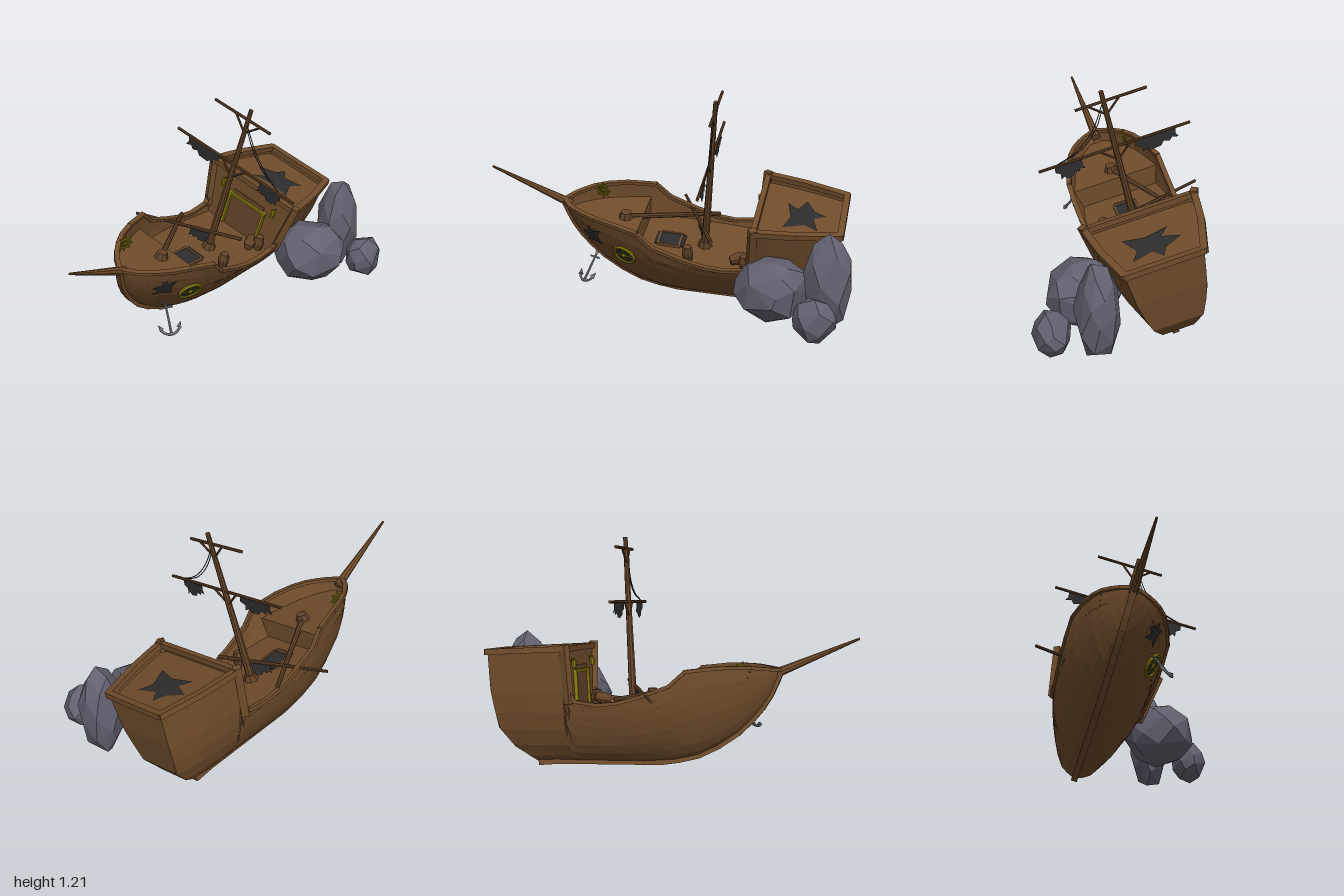
import * as THREE from 'three';
import { ConvexGeometry } from 'three/addons/geometries/ConvexGeometry.js';

const mat = (name, color, flatShading = true) =>
  Object.assign(new THREE.MeshStandardMaterial({ color, side: THREE.DoubleSide, flatShading }), { name });
const V = (x, y, z) => new THREE.Vector3(x, y, z);
const ROLL = 0.2468, KEEL_X = -0.2475;

// Piecewise-linear lookup in a list of [key, value]
function look(table, x) {
  if (x <= table[0][0]) return table[0][1];
  for (let i = 1; i < table.length; i++) {
    const [x0, y0] = table[i - 1], [x1, y1] = table[i];
    if (x <= x1) return y0 + (y1 - y0) * (x - x0) / (x1 - x0);
  }
  return table[table.length - 1][1];
}

// Hull lines: keel height, reference sheer, half beam, top edge, section fullness, transom rake
const keelT = [[-0.92, 0.015], [-0.55, 0.03], [0, 0.065], [0.1, 0.085], [0.2, 0.115], [0.3, 0.17], [0.4, 0.245], [0.47, 0.32], [0.52, 0.385], [0.56, 0.455], [0.59, 0.53], [0.605, 0.575]];
const sheerT = [[0.0, 0.45], [0.15, 0.52], [0.3, 0.57], [0.6, 0.59]];
const beamT = [[-0.92, 0.185], [-0.7, 0.235], [-0.5, 0.262], [-0.2, 0.265], [0.1, 0.258], [0.2, 0.24], [0.3, 0.215], [0.4, 0.18], [0.47, 0.142], [0.52, 0.105], [0.56, 0.068], [0.59, 0.032], [0.605, 0.004]];
const topT = [[-0.92, 0.6], [-0.48, 0.645], [-0.47, 0.52], [-0.45, 0.42], [-0.42, 0.375], [-0.3, 0.365], [-0.2, 0.38], [-0.08, 0.42], [0.07, 0.485], [0.15, 0.565], [0.3, 0.59], [0.45, 0.6], [0.605, 0.59]];
const fullT = [[0, 0], [0.06, 0.22], [0.2, 0.46], [0.42, 0.7], [0.63, 0.85], [0.79, 0.94], [1, 1]];
const rakeT = [[0.015, -0.66], [0.06, -0.72], [0.1, -0.78], [0.2, -0.86], [0.4, -0.9], [0.62, -0.92]];

// Point on the hull skin at station s, height v, side -1 or 1
function skin(s, v, side = 1) {
  const k = look(keelT, s), t = Math.max(0, (v - k) / (look(sheerT, s) - k));
  const u = look(beamT, s) * (t > 1 ? 1 + 0.25 * (t - 1) : look(fullT, t));
  const z = s < -0.55 ? -0.55 + (s + 0.55) / -0.37 * (look(rakeT, v) + 0.55) : s;
  return V(u * side, v, z);
}
const top = (s, side) => skin(s, look(topT, s), side);
const deckV = z => 0.35 + 0.095 * (z + 0.17);
const foreV = z => 0.5 + 0.095 * (z - 0.27);
const poopV = z => 0.585 + 0.1 * (z + 0.68);

// Surface through a grid of points
function grid(rows) {
  const n = rows[0].length, pos = [], idx = [];
  rows.flat().forEach(p => pos.push(p.x, p.y, p.z));
  for (let i = 0; i < rows.length - 1; i++) for (let j = 0; j < n - 1; j++) {
    const a = i * n + j, b = a + n;
    idx.push(a, a + 1, b + 1, a, b + 1, b);
  }
  const g = new THREE.BufferGeometry();
  g.setAttribute('position', new THREE.Float32BufferAttribute(pos, 3));
  g.setIndex(idx);
  g.computeVertexNormals();
  return g;
}
const strip = rows => grid(rows.map(([s, v]) => [skin(s, v, -1), skin(s, v, 1)]));

function shapeGeo(points) {
  return new THREE.ShapeGeometry(new THREE.Shape(points.map(p => new THREE.Vector2(...p))));
}

// Facetted boulder filling an ellipsoid
function rockGeo(seed, count) {
  const pts = [];
  const rnd = () => (seed = (seed * 16807) % 2147483647) / 2147483647;
  for (let i = 0; i < count; i++) {
    const y = 1 - 2 * (i + 0.5) / count, a = i * 2.39996 + rnd() * 0.7, r = Math.sqrt(1 - y * y);
    pts.push(V(r * Math.cos(a), y, r * Math.sin(a)).multiplyScalar(0.97 + rnd() * 0.1));
  }
  return new ConvexGeometry(pts);
}

export function createModel() {
  const wood = mat('hull wood', 0x6f4c2b), spar = mat('spar wood', 0x634328);
  const dark = mat('dark cloth and holes', 0x2d2d2f), brass = mat('brass', 0x857a0c);
  const iron = mat('iron', 0x8f9092), stone = mat('stone', 0x636170);
  const model = new THREE.Group(), ship = new THREE.Group();
  model.name = 'shipwreck';
  ship.name = 'ship';
  ship.position.x = KEEL_X;
  ship.rotation.z = -ROLL;
  model.add(ship);

  const add = (name, geo, m, parent = ship) => {
    const mesh = new THREE.Mesh(geo, m);
    mesh.name = name;
    parent.add(mesh);
    return mesh;
  };
  // Square beam, round rod and chains of beams between points
  const bar = (name, a, b, w, h, m, parent = ship) => {
    const mesh = new THREE.Mesh(new THREE.BoxGeometry(w, h, a.distanceTo(b) + w * 0.4), m);
    mesh.position.copy(a).lerp(b, 0.5);
    mesh.lookAt(b);
    mesh.name = name;
    parent.add(mesh);
  };
  const rod = (name, a, b, r0, r1, m, parent = ship) => {
    const mesh = add(name, new THREE.CylinderGeometry(r1, r0, a.distanceTo(b), 8), m, parent);
    mesh.position.copy(a).lerp(b, 0.5);
    mesh.quaternion.setFromUnitVectors(V(0, 1, 0), b.clone().sub(a).normalize());
  };
  const chain = (name, pts, w, h, m) => pts.slice(1).forEach((p, i) => bar(name, pts[i], p, w, h, m));
  // Upright position to ship position
  const W = (x, y, z) => V(x - KEEL_X, y, z).applyAxisAngle(V(0, 0, 1), ROLL);

  // Hull shell, transom, decks and bulkheads
  const stations = [-0.92, -0.82, -0.7, -0.55, -0.48, -0.47, -0.45, -0.42, -0.3, -0.2, -0.08, 0.07, 0.15, 0.2, 0.3, 0.4, 0.47, 0.52, 0.56, 0.59, 0.605];
  const levels = [0.06, 0.16, 0.3, 0.45, 0.62, 0.8, 1];
  add('hull', grid(stations.map(s => {
    const k = look(keelT, s), h = look(topT, s) - k;
    const half = side => levels.map(t => skin(s, k + h * t, side));
    return [...half(-1).reverse(), skin(s, k), ...half(1)];
  })), wood);
  add('transom', strip([0.6, 0.5, 0.4, 0.3, 0.2, 0.14, 0.1, 0.06, 0.035, 0.015].map(v => [-0.92, v])), wood);
  add('mainDeck', strip([0.18, 0.05, -0.1, -0.25, -0.46].map(z => [z, deckV(z)])), wood);
  add('foreDeck', strip([0.595, 0.56, 0.52, 0.47, 0.4, 0.3, 0.18].map(z => [z, foreV(z)])), wood);
  add('poopDeck', strip([-0.475, -0.6, -0.75, -0.915].map(z => [z, poopV(z)])), wood);
  add('foreBulkhead', strip([[0.18, deckV(0.18)], [0.18, foreV(0.18)]]), wood);
  add('cabinWall', strip([[-0.445, 0.32], [-0.46, 0.46], [-0.478, 0.64]]), wood);

  // Keel, stem and rails
  chain('keel', [-0.92, -0.55, -0.3, 0, 0.1, 0.2, 0.3, 0.4, 0.47, 0.52, 0.56, 0.59, 0.605].map(s => skin(s, look(keelT, s))), 0.034, 0.03, wood);
  for (const side of [-1, 1]) {
    chain('gunwale', [-0.45, -0.42, -0.3, -0.2, -0.08, 0.07, 0.15, 0.3, 0.4, 0.47, 0.52, 0.56, 0.605].map(s => top(s, side)), 0.026, 0.018, wood);
    chain('poopRail', [-0.48, -0.6, -0.7, -0.82, -0.92].map(s => top(s, side)), 0.036, 0.03, wood);
    bar('cabinPost', skin(-0.45, 0.37, side), skin(-0.478, 0.66, side), 0.04, 0.036, wood);
  }
  bar('sternRail', top(-0.92, -1), top(-0.92, 1), 0.034, 0.03, wood);
  bar('poopFrontRail', top(-0.48, -1), top(-0.48, 1), 0.03, 0.03, wood);

  // Cabin door with brass frame, and lanterns
  const wallAt = (u, v, d = 0.008) => V(u, v, -0.445 - (v - 0.32) * 0.105 + d);
  bar('door', wallAt(0, 0.33, 0), wallAt(0, 0.51, 0), 0.22, 0.012, spar);
  for (const side of [-1, 1]) {
    bar('doorFrame', wallAt(0.12 * side, 0.325), wallAt(0.12 * side, 0.52), 0.014, 0.02, brass);
    rod('lantern', wallAt(0.18 * side, 0.545, 0.02), wallAt(0.18 * side, 0.585, 0.02), 0.012, 0.015, brass);
    rod('lanternArm', wallAt(0.18 * side, 0.59, 0), wallAt(0.18 * side, 0.59, 0.025), 0.004, 0.004, brass);
  }
  bar('doorFrame', wallAt(-0.13, 0.525), wallAt(0.13, 0.525), 0.02, 0.014, brass);

  // Broken hole in the poop deck
  const star = [[-0.14, 0.0], [-0.05, 0.05], [-0.02, 0.11], [0.02, 0.05], [0.13, 0.08], [0.09, 0.01], [0.14, -0.1], [0.03, -0.07], [-0.1, -0.1], [-0.05, -0.04]];
  const hole = add('deckHole', shapeGeo(star), dark);
  hole.position.set(0, poopV(-0.71) + 0.005, -0.71);
  hole.rotation.x = -Math.PI / 2 - 0.1;

  // Broken hole in the bow, laid onto the hull skin
  const tear = shapeGeo(star.map(([x, y]) => [x * 0.42, y * 0.6]));
  const tp = tear.attributes.position;
  for (let i = 0; i < tp.count; i++) {
    const p = skin(0.415 - tp.getX(i), 0.485 + tp.getY(i));
    tp.setXYZ(i, p.x + 0.012, p.y - 0.003, p.z + 0.006);
  }
  tear.computeVertexNormals();
  add('bowHole', tear, dark);

  // Brass wheels: round port on the hull side, steering wheel inside the bow
  const wheel = (name, r, tube, spokes, reach) => {
    const g = new THREE.Group();
    g.name = name;
    add('rim', new THREE.TorusGeometry(r, tube, 6, 16), brass, g);
    for (let i = 0; i < spokes; i++) {
      const a = i * Math.PI * 2 / spokes;
      rod('spoke', V(0, 0, 0), V(Math.cos(a) * reach, Math.sin(a) * reach, 0), tube * 0.6, tube * 0.6, brass, g);
    }
    add('hub', new THREE.SphereGeometry(tube * 1.5, 8, 6), brass, g);
    return g;
  };
  const port = wheel('roundPort', 0.06, 0.01, 4, 0.06);
  const c = skin(0.235, 0.393);
  const normal = skin(0.235, 0.43).sub(skin(0.235, 0.36)).cross(skin(0.28, 0.393).sub(skin(0.19, 0.393))).normalize();
  add('portGlass', new THREE.CircleGeometry(0.06, 16), dark, port).position.z = 0.002;
  port.position.copy(c).addScaledVector(normal, 0.01);
  port.lookAt(c.clone().addScaledVector(normal, 1));
  ship.add(port);
  const helm = wheel('steeringWheel', 0.03, 0.006, 8, 0.048);
  helm.position.set(-0.135, 0.58, 0.425);
  helm.rotation.y = Math.PI / 2 - 0.3;
  ship.add(helm);

  // Hatch on the main deck
  const hz = 0.025, hw = 0.058;
  const hp = (u, z) => V(u, deckV(hz + z) + 0.006, hz + z);
  bar('hatchHole', hp(0, -hw), hp(0, hw), 0.11, 0.008, dark);
  for (const s of [-1, 1]) {
    bar('hatchFrame', hp(hw * s, -hw), hp(hw * s, hw), 0.012, 0.018, wood);
    bar('hatchFrame', hp(-hw, hw * s), hp(hw, hw * s), 0.012, 0.018, wood);
  }

  // Main mast, yards, braces and bowsprit
  const mastAt = (v, u = 0) => V(u, v, -0.165 - 0.1 * (v - 0.35));
  rod('mainMast', mastAt(0.33), mastAt(1.24), 0.022, 0.012, spar);
  rod('mastCollar', mastAt(0.345), mastAt(0.385), 0.042, 0.03, spar);
  for (const [v, a, b] of [[0.9, -0.405, 0.41], [1.18, -0.228, 0.15]]) {
    rod('yard', mastAt(v, a), mastAt(v, b), 0.008, 0.008, spar);
    for (const s of [-1, 1]) rod('yardBrace', mastAt(v - 0.08), mastAt(v, 0.085 * s), 0.006, 0.006, spar);
  }
  rod('bowsprit', V(0, 0.565, 0.57), V(0, 0.774, 1.0), 0.025, 0.006, wood);

  // Fallen foremast and loose yard
  rod('foreMast', V(0, 0.505, 0.27), W(-0.395, 0.45, -0.21), 0.016, 0.011, spar);
  rod('foreCollar', V(0, 0.495, 0.27), V(0, 0.535, 0.266), 0.04, 0.028, spar);
  rod('looseYard', W(-0.535, 0.5, 0.016), W(0.02, 0.425, -0.23), 0.008, 0.011, spar);

  // Torn sails
  const sail = (u0, w, v, z, scale = 1) => {
    const edge = [[0, 0], [0.03, -0.4], [-0.03, -0.75], [0.12, -0.6], [0.2, -0.85], [0.33, -0.7], [0.42, -1], [0.68, -1.05], [0.74, -0.85], [0.86, -1], [0.84, -0.6], [1, -0.4], [0.96, 0]];
    const m = add('tornSail', shapeGeo(edge.map(([x, y]) => [x * w, y * 0.075 * scale])), dark);
    m.position.set(u0, v, z);
    return m;
  };
  sail(-0.325, 0.225, 0.895, -0.218);
  sail(0.18, 0.15, 0.895, -0.218, 1.05);
  const rag = sail(0, 0.13, 0, 0);
  rag.position.copy(W(-0.25, 0.46, -0.11));
  rag.rotation.set(0, 0.42, 0.1);

  // Sagging ropes
  for (const d of [0, 0.015]) {
    const curve = new THREE.CatmullRomCurve3([W(0.045, 1.12 - d * 2, -0.235), W(0.095 - d, 0.985, -0.24), W(0.175 - d, 0.875, -0.235), W(0.29, 0.793, -0.22)]);
    add('rope', new THREE.TubeGeometry(curve, 12, 0.0025, 5), dark);
  }

  // Barrels on the deck
  const profile = [[0, 0], [0.023, 0], [0.031, 0.035], [0.031, 0.05], [0.023, 0.085], [0, 0.085]].map(p => new THREE.Vector2(...p));
  for (const [u, z, tilt] of [[0.155, -0.1, 0], [0.165, -0.41, 0], [0.15, -0.33, 1.4]]) {
    const b = add('barrel', new THREE.LatheGeometry(profile, 10), spar);
    b.position.set(u, deckV(z) + (tilt ? 0.03 : 0), z);
    b.rotation.set(-tilt, 0, tilt * 0.3);
  }

  // Anchor hanging at the bow
  const anchor = new THREE.Group();
  anchor.name = 'anchor';
  rod('shank', V(0, 0, 0), V(0, 0.16, 0), 0.007, 0.005, iron, anchor);
  rod('stock', V(-0.035, 0.142, 0), V(0.035, 0.142, 0), 0.005, 0.005, iron, anchor);
  add('ring', new THREE.TorusGeometry(0.01, 0.003, 5, 10), iron, anchor).position.y = 0.168;
  const arms = add('arms', new THREE.TorusGeometry(0.055, 0.007, 6, 12, Math.PI * 0.8), iron, anchor);
  arms.rotation.z = Math.PI * 1.1;
  arms.position.y = 0.055;
  for (const s of [-1, 1]) rod('fluke', V(0.046 * s, 0.03, 0), V(0.06 * s, 0.06, 0), 0.013, 0.001, iron, anchor);
  anchor.position.set(0.1, 0.185, 0.45);
  anchor.quaternion.setFromUnitVectors(V(0, 1, 0), V(-0.085, 0.13, -0.05).normalize());
  anchor.rotateY(0.95);
  model.add(anchor);

  // Rocks beside the stern
  [[0.225, 0.272, -0.59, 0.2, 0.17, 0.2, 11, 30], [0.215, 0.33, -0.875, 0.112, 0.268, 0.125, 29, 28], [0.432, 0.206, -0.83, 0.1, 0.117, 0.112, 53, 24]].forEach(([x, y, z, a, b, d, seed, n]) => {
    const r = add('rock', rockGeo(seed, n), stone, model);
    r.position.set(x, y, z);
    r.scale.set(a, b, d);
  });
  return model;
}
